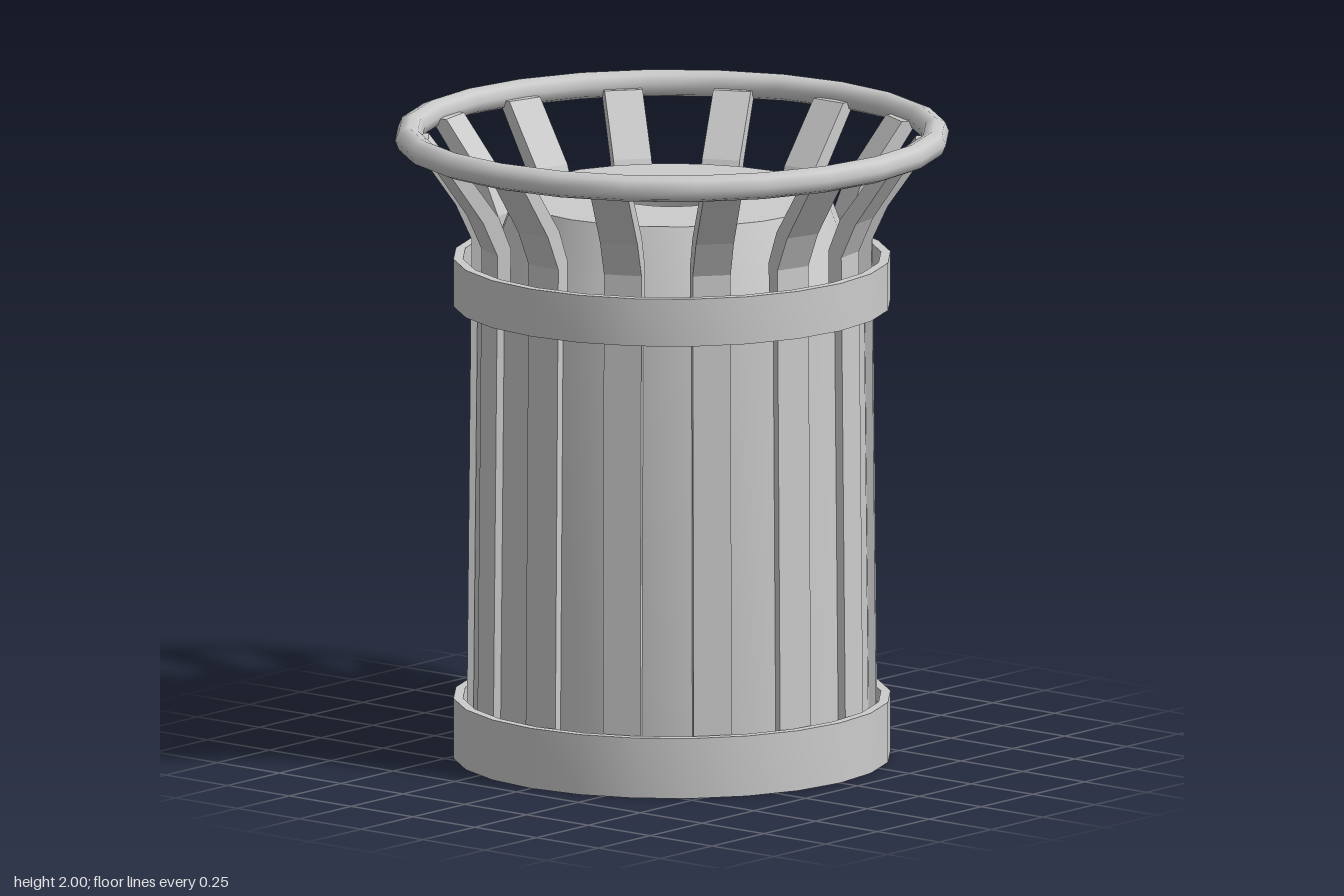
import * as THREE from 'three';
import { toCreasedNormals } from 'three/addons/utils/BufferGeometryUtils.js';

const SIDES = 24;
const SLATS = 14;

export function createModel() {
  const bin = new THREE.Group();
  bin.name = 'litterBin';
  const grey = new THREE.MeshStandardMaterial({ color: 0xcccccc });
  const greyThin = new THREE.MeshStandardMaterial({ color: 0xcccccc, side: THREE.DoubleSide });

  const add = (name, geometry, material = grey) => {
    const mesh = new THREE.Mesh(geometry, material);
    mesh.name = name;
    bin.add(mesh);
    return mesh;
  };
  const lathe = (profile) => toCreasedNormals(
    new THREE.LatheGeometry(profile.map(([r, y]) => new THREE.Vector2(r, y)), SIDES), 0.33);

  // Hollow inner drum: floor, wall, sloping shoulder and lid with a round opening
  add('drum', lathe([
    [0, 0.13], [0.618, 0.13], [0.605, 1.46], [0.49, 1.77], [0.175, 1.77],
  ]), greyThin);

  // Flat bands holding the slats at the foot and the shoulder
  const band = (name, y0, y1) => add(name, lathe([
    [0.65, y0], [0.68, y0], [0.68, y1], [0.65, y1], [0.65, y0],
  ]));
  band('baseBand', 0, 0.19);
  band('upperBand', 1.43, 1.58);

  // Upright slats that flare outwards to carry the rim
  const width = 0.12;
  const profile = new THREE.Shape([
    [0.59, 0.11], [0.635, 0.11], [0.62, 1.64], [0.67, 1.75], [0.81, 1.95],
    [0.755, 1.95], [0.615, 1.76], [0.575, 1.66],
  ].map(([r, y]) => new THREE.Vector2(r, y)));
  const slat = new THREE.ExtrudeGeometry(profile, { depth: width, bevelEnabled: false });
  slat.translate(0, 0, -width / 2);
  for (let i = 0; i < SLATS; i++) {
    add('slat', slat).rotation.y = (i / SLATS) * Math.PI * 2;
  }

  // Round rim on top of the slats
  const rim = new THREE.TorusGeometry(0.82, 0.042, 8, SIDES);
  rim.rotateX(Math.PI / 2);
  add('rim', rim).position.y = 1.958;

  return bin;
}
